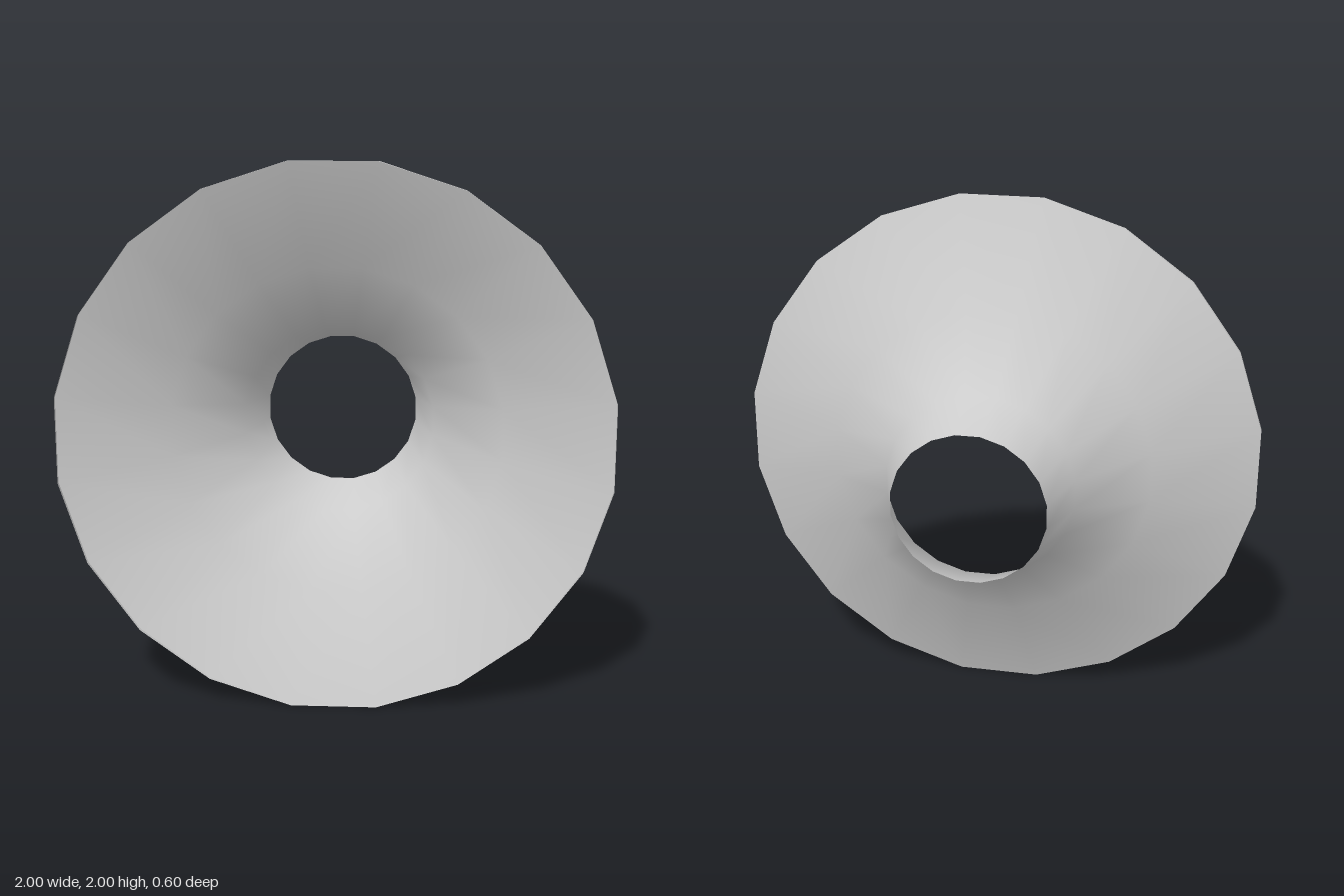
import * as THREE from 'three';

const SIDES = 20;
const STEP = (Math.PI * 2) / SIDES;
const CORNER = 1 / Math.cos(STEP / 2); // flat-to-flat radius to corner radius

export function createModel() {
  const group = new THREE.Group();
  group.name = 'flaredFunnel';
  const material = new THREE.MeshStandardMaterial({ color: 0xcccccc, side: THREE.DoubleSide });

  // Revolves [radius, z] points around the z axis, with flats on top and sides
  const revolve = (name, profile) => {
    const points = profile.map(([r, z]) => new THREE.Vector2(r * CORNER, z));
    const geometry = new THREE.LatheGeometry(points, SIDES, STEP / 2);
    geometry.rotateX(Math.PI / 2);
    geometry.translate(0, 1, 0);
    const mesh = new THREE.Mesh(geometry, material);
    mesh.name = name;
    group.add(mesh);
  };

  // Thin flared wall, from the narrow back opening to the wide front
  revolve('flare', [[0.286, -0.3], [0.355, -0.09], [0.61, 0.125], [1, 0.285]]);
  // Narrow lip around the wide front edge
  revolve('rim', [[1, 0.285], [1, 0.3]]);

  return group;
}
